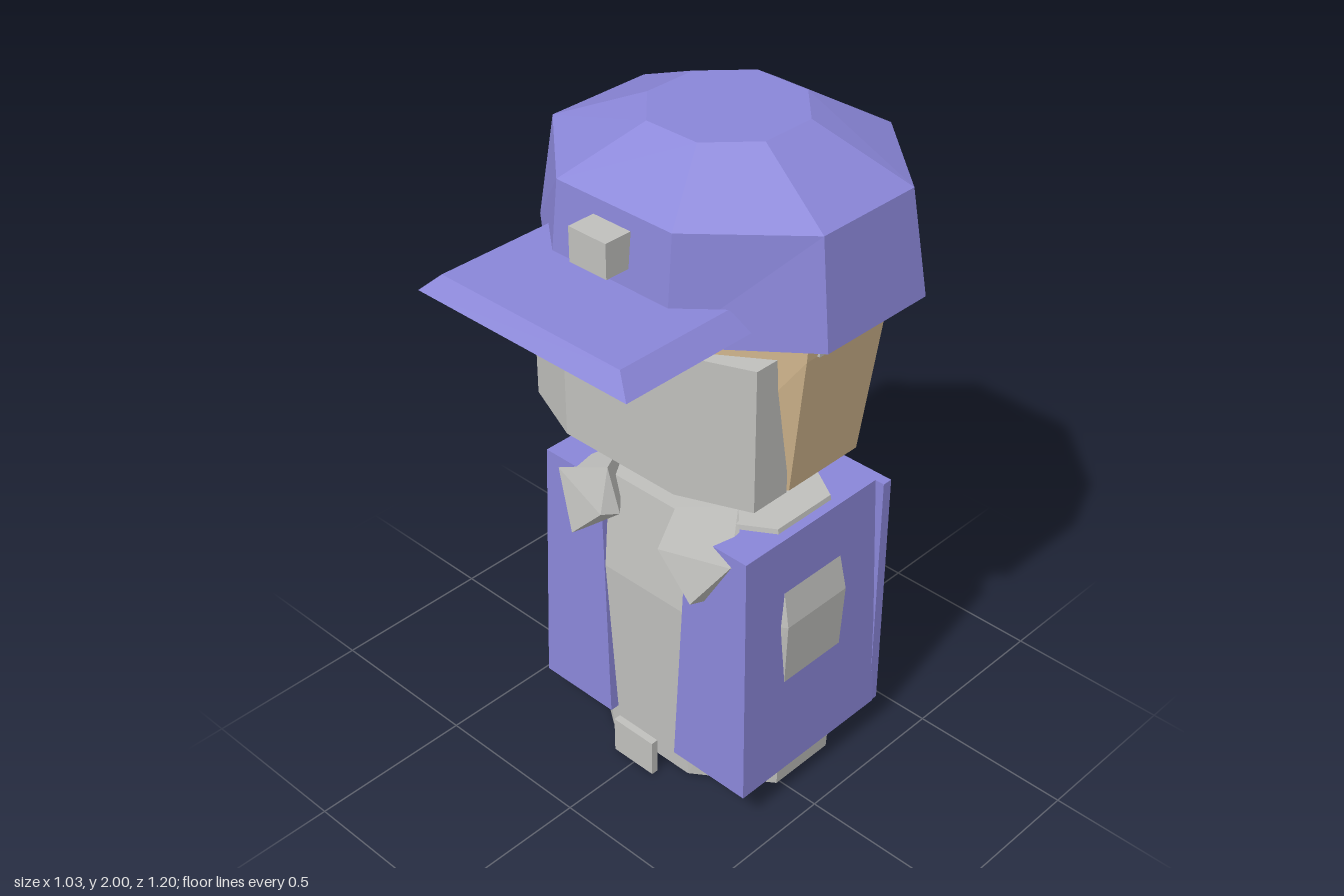
import * as THREE from 'three';
import { ConvexGeometry } from 'three/addons/geometries/ConvexGeometry.js';

const material = (name, color) => {
  const m = new THREE.MeshStandardMaterial({ color, flatShading: true });
  m.name = name;
  return m;
};

// Closed solid through stacked rings; each ring is { y, p: [[x, z], ...] },
// running from the front towards +x and round the back
function loft(rings) {
  const out = [];
  const tri = (...pts) => pts.forEach((p) => out.push(...p));
  const at = (r, i) => {
    const [x, z] = r.p[i % r.p.length];
    return [x, r.y, z];
  };
  const n = rings[0].p.length;
  for (let k = 0; k < rings.length - 1; k++) {
    for (let i = 0; i < n; i++) {
      const a = at(rings[k], i), b = at(rings[k], i + 1);
      const c = at(rings[k + 1], i + 1), d = at(rings[k + 1], i);
      tri(a, b, c);
      tri(a, c, d);
    }
  }
  const low = rings[0], high = rings[rings.length - 1];
  for (let i = 1; i < n - 1; i++) {
    tri(at(low, 0), at(low, i + 1), at(low, i));
    tri(at(high, 0), at(high, i), at(high, i + 1));
  }
  const g = new THREE.BufferGeometry();
  g.setAttribute('position', new THREE.Float32BufferAttribute(out, 3));
  g.computeVertexNormals();
  return g;
}

// Octagon ring: hx, zf, zb are the extents; ax, sf, sb the corner positions
const octagon = (y, hx, ax, zf, sf, sb, zb) => ({
  y,
  p: [[ax, zf], [hx, sf], [hx, sb], [ax, zb], [-ax, zb], [-hx, sb], [-hx, sf], [-ax, zf]],
});
const rect = (y, x0, x1, z0, z1) => ({ y, p: [[x1, z1], [x1, z0], [x0, z0], [x0, z1]] });

export function createModel() {
  const blue = material('uniform blue', 0x8a86d8);
  const skin = material('skin tan', 0xd8bc92);
  const grey = material('light grey', 0xc0c0bd);

  const model = new THREE.Group();
  const add = (name, geometry, mat) => {
    const mesh = new THREE.Mesh(geometry, mat);
    mesh.name = name;
    model.add(mesh);
  };
  const block = (name, x0, x1, y0, y1, z0, z1, mat) =>
    add(name, loft([rect(y0, x0, x1, z0, z1), rect(y1, x0, x1, z0, z1)]), mat);

  // Head with tapered chin
  add('head', loft([
    octagon(1.0, 0.25, 0.115, 0.155, 0.01, -0.18, -0.32),
    octagon(1.105, 0.405, 0.185, 0.235, 0.05, -0.22, -0.41),
    octagon(1.535, 0.465, 0.19, 0.255, 0.07, -0.23, -0.435),
    octagon(1.6, 0.47, 0.19, 0.26, 0.07, -0.23, -0.435),
  ]), skin);

  // Face mask, bent back at both sides
  const maskShape = [[0.2, 0.27], [0.405, 0.185], [0.405, 0.06], [-0.405, 0.06], [-0.405, 0.185], [-0.2, 0.27]];
  add('faceMask', loft([{ y: 1.105, p: maskShape }, { y: 1.535, p: maskShape }]), grey);

  // Hair band below the back of the cap
  const hair = [[0.472, 0.03], [0.472, -0.3], [0.2, -0.52], [-0.2, -0.52], [-0.472, -0.3], [-0.472, 0.03]];
  add('hairBand', loft([{ y: 1.535, p: hair }, { y: 1.59, p: hair }]), grey);

  // Cap
  add('capCrown', loft([
    octagon(1.573, 0.515, 0.207, 0.3, 0.05, -0.33, -0.6),
    octagon(1.875, 0.47, 0.2, 0.27, 0.03, -0.31, -0.55),
    octagon(2.0, 0.203, 0.087, 0.065, -0.055, -0.225, -0.345),
  ]), blue);
  add('capVisor', loft([
    rect(1.625, -0.37, 0.37, 0.17, 0.597),
    rect(1.678, -0.315, 0.315, 0.19, 0.562),
  ]), blue);
  block('capBadge', -0.065, 0.065, 1.73, 1.83, 0.22, 0.36, grey);

  // Shirt, bulging slightly at the sides
  add('shirt', loft([
    octagon(0.01, 0.37, 0.155, 0.17, 0.02, -0.2, -0.335),
    octagon(0.63, 0.407, 0.165, 0.187, 0.035, -0.207, -0.355),
    octagon(0.935, 0.35, 0.15, 0.15, 0.025, -0.19, -0.31),
  ]), grey);
  block('beltBuckle', -0.08, 0.075, 0, 0.12, 0.215, 0.238, grey);

  // Open jacket: two sides and a back panel
  for (const s of [1, -1]) {
    const side = s > 0 ? 'left' : 'right';
    const half = (y, inner, outer, z0, z1) =>
      rect(y, Math.min(s * inner, s * outer), Math.max(s * inner, s * outer), z0, z1);
    add(side + 'JacketSide', loft([
      half(0.1, 0.13, 0.403, -0.37, 0.202),
      half(0.92, 0.165, 0.382, -0.345, 0.185),
    ]), blue);

    // Folded collar flap
    const flap = [
      [0.33, 0.885, 0.19], [0.13, 0.985, 0.19], [0.11, 0.86, 0.24], [0.23, 0.735, 0.24],
      [0.085, 0.85, 0.19], [0.235, 0.72, 0.19], [0.33, 0.88, 0.15], [0.22, 0.955, 0.04],
    ].map(([x, y, z]) => new THREE.Vector3(s * x, y, z));
    add(side + 'Collar', new ConvexGeometry(flap), grey);
  }
  block('jacketBack', -0.4, 0.4, 0.1, 0.905, -0.392, -0.36, blue);

  return model;
}
